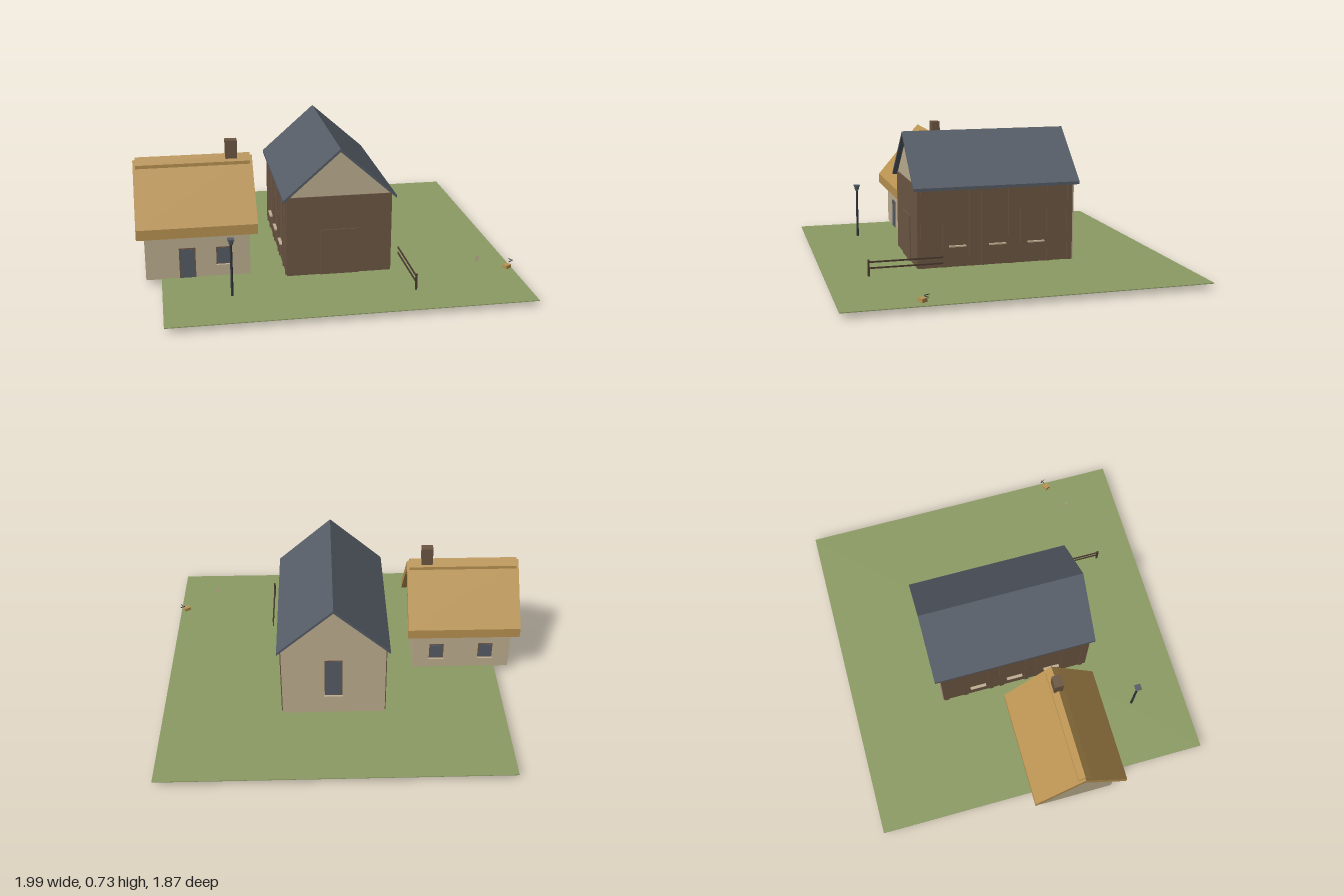
import * as THREE from 'three';

const mat = (name, color) => {
  const m = new THREE.MeshStandardMaterial({ color });
  m.name = name;
  return m;
};

export function createModel() {
  const root = new THREE.Group();
  root.name = 'farmstead';
  const grass = mat('grass', 0x8b9b62);
  const wood = mat('brown timber', 0x6d5744);
  const darkWood = mat('dark timber', 0x4a3a30);
  const plaster = mat('plaster', 0xbdae90);
  const thatch = mat('thatch', 0xb99352);
  const slate = mat('slate', 0x565d67);
  const iron = mat('iron', 0x33363c);

  const add = (parent, name, geo, m) => {
    const mesh = new THREE.Mesh(geo, m);
    mesh.name = name;
    parent.add(mesh);
    return mesh;
  };
  // Box given by its minimum and maximum corners
  const box = (parent, name, m, x0, x1, y0, y1, z0, z1) => {
    const mesh = add(parent, name, new THREE.BoxGeometry(x1 - x0, y1 - y0, z1 - z0), m);
    mesh.position.set((x0 + x1) / 2, (y0 + y1) / 2, (z0 + z1) / 2);
    return mesh;
  };
  // Profile in x and y, extruded along z from z0 to z1
  const prism = (parent, name, m, pts, z0, z1) => {
    const shape = new THREE.Shape(pts.map(([x, y]) => new THREE.Vector2(x, y)));
    const geo = new THREE.ExtrudeGeometry(shape, { depth: z1 - z0, bevelEnabled: false });
    geo.translate(0, 0, z0);
    return add(parent, name, geo, m);
  };
  // Inverted V of a roof with a vertical thickness
  const roofProfile = (half, ridge, eave, t) => [
    [-half, eave - t], [0, ridge - t], [half, eave - t], [half, eave], [0, ridge], [-half, eave],
  ];
  const gableProfile = (half, base, eave, ridge) => [
    [-half, base], [half, base], [half, eave], [0, ridge], [-half, eave],
  ];
  // Window facing +z, standing on its sill
  const windowUnit = (parent, name, w, h, x, y, z, turn = 0) => {
    const g = new THREE.Group();
    g.name = name;
    box(g, 'frame', wood, -w / 2 - 0.006, w / 2 + 0.006, 0, h + 0.006, -0.002, 0.002);
    box(g, 'glass', slate, -w / 2, w / 2, 0.003, h, 0, 0.004);
    box(g, 'sill', plaster, -w / 2 - 0.008, w / 2 + 0.008, -0.008, 0, -0.002, 0.016);
    g.position.set(x, y, z);
    g.rotation.y = turn;
    parent.add(g);
  };

  const G = 0.033;
  box(root, 'ground', grass, -0.88, 0.99, 0.029, G, -0.94, 0.93);
  // Floor patches showing on the underside
  box(root, 'barnFloor', wood, 0.06, 0.33, 0.026, 0.03, -0.43, 0.43);
  box(root, 'cottageFloor', wood, -0.71, -0.43, 0.026, 0.03, -0.04, 0.37);

  // Barn, ridge running along z
  const barn = new THREE.Group();
  barn.name = 'barn';
  barn.position.x = 0.057;
  root.add(barn);
  box(barn, 'timberWalls', wood, -0.28, 0.28, G, 0.47, -0.425, 0.435);
  prism(barn, 'backPlasterWall', plaster, gableProfile(0.279, G, 0.468, 0.714), -0.432, -0.425);
  prism(barn, 'frontGable', plaster, [[-0.278, 0.47], [0.278, 0.47], [0, 0.715]], 0.42, 0.43);
  prism(barn, 'barnRoof', slate, roofProfile(0.3, 0.73, 0.465, 0.016), -0.457, 0.457);
  box(barn, 'barnDoor', wood, -0.1, 0.103, G, 0.285, 0.435, 0.441);
  windowUnit(barn, 'backWindow', 0.085, 0.23, 0, 0.155, -0.432, Math.PI);
  for (const s of [-1, 1]) {
    for (const z of [-0.405, -0.29, -0.14, -0.075, 0.075, 0.14, 0.29, 0.405])
      box(barn, 'wallPost', wood, s * 0.282 - 0.003, s * 0.282 + 0.003, G, 0.46, z - 0.012, z + 0.012);
    for (const z of [-0.217, 0, 0.22])
      box(barn, 'sideSill', plaster, s * 0.287 - 0.009, s * 0.287 + 0.009, 0.142, 0.149, z - 0.046, z + 0.046);
  }

  // Cottage, built along z and turned so that its ridge runs along x
  const cottage = new THREE.Group();
  cottage.name = 'cottage';
  root.add(cottage);
  const shell = new THREE.Group();
  shell.name = 'cottageShell';
  shell.rotation.y = Math.PI / 2;
  shell.position.set(-0.685, 0, 0.155);
  cottage.add(shell);
  prism(shell, 'plasterWalls', plaster, gableProfile(0.207, 0.031, 0.325, 0.575), -0.275, 0.275);
  prism(shell, 'thatchedRoof', thatch, roofProfile(0.256, 0.63, 0.33, 0.055), -0.315, 0.315);
  prism(shell, 'ridgeCap', thatch, roofProfile(0.034, 0.645, 0.608, 0.03), -0.302, 0.302);
  box(cottage, 'chimney', wood, -0.513, -0.45, 0.5, 0.72, 0.13, 0.178);
  box(cottage, 'cottageDoorFrame', wood, -0.784, -0.698, G, 0.199, 0.361, 0.365);
  box(cottage, 'cottageDoor', slate, -0.778, -0.704, G, 0.193, 0.363, 0.367);
  windowUnit(cottage, 'frontWindow', 0.07, 0.09, -0.548, 0.1, 0.363);
  for (const x of [-0.82, -0.54]) windowUnit(cottage, 'rearWindow', 0.07, 0.09, x, 0.1, -0.053, Math.PI);

  // Lamp post
  const lamp = new THREE.Group();
  lamp.name = 'lampPost';
  lamp.position.set(-0.53, 0, 0.625);
  root.add(lamp);
  const pole = add(lamp, 'pole', new THREE.CylinderGeometry(0.006, 0.007, 0.28, 8), iron);
  pole.position.y = G + 0.14;
  const head = add(lamp, 'lantern', new THREE.CylinderGeometry(0.02, 0.013, 0.026, 4), slate);
  head.rotation.y = Math.PI / 4;
  head.position.y = 0.326;
  box(lamp, 'lanternCap', slate, -0.017, 0.017, 0.338, 0.344, -0.017, 0.017);

  // Fence beside the barn
  const fence = new THREE.Group();
  fence.name = 'fence';
  root.add(fence);
  box(fence, 'fencePost', darkWood, 0.404, 0.414, 0, 0.12, 0.7, 0.71);
  for (const y of [0.107, 0.075]) box(fence, 'rail', darkWood, 0.406, 0.412, y - 0.004, y + 0.004, 0.313, 0.705);

  // Small things in the yard
  box(root, 'hangingTag', plaster, 0.75, 0.77, 0.125, 0.155, 0.609, 0.611);
  const crate = new THREE.Group();
  crate.name = 'crate';
  crate.position.set(0.955, 0, 0.54);
  crate.rotation.y = Math.PI / 6;
  root.add(crate);
  box(crate, 'crateBody', thatch, -0.018, 0.018, 0.044, 0.063, -0.015, 0.015);
  box(crate, 'handle', iron, 0.014, 0.042, 0.072, 0.075, -0.002, 0.001);
  box(crate, 'crossHandle', iron, 0.028, 0.031, 0.082, 0.085, -0.016, 0.016);
  return root;
}
